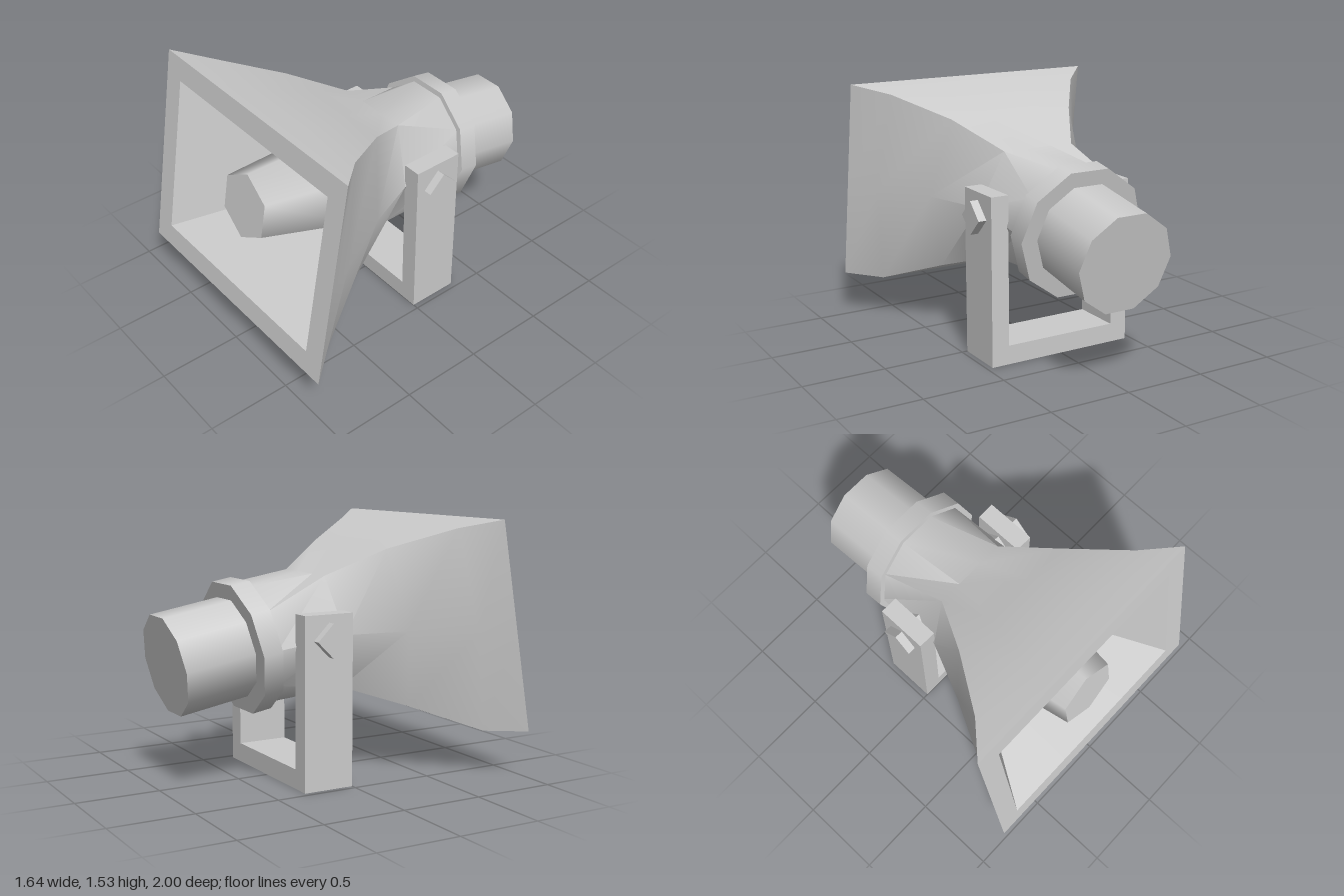
import * as THREE from 'three';
import { toCreasedNormals } from 'three/addons/utils/BufferGeometryUtils.js';

const material = new THREE.MeshStandardMaterial({ color: 0xcccccc });

function addMesh(parent, name, geometry, x = 0, y = 0, z = 0) {
  const mesh = new THREE.Mesh(geometry, material);
  mesh.name = name;
  mesh.position.set(x, y, z);
  parent.add(mesh);
  return mesh;
}

// Prism along z, from z0 (radius r0) to z1 (radius r1)
function prism(parent, name, sides, y, z0, r0, z1, r1) {
  const g = new THREE.CylinderGeometry(r1, r0, z1 - z0, sides, 1, false, sides === 10 ? Math.PI / 2 : 0);
  g.rotateX(Math.PI / 2);
  return addMesh(parent, name, g, 0, y, (z0 + z1) / 2);
}

// Ten-point section: a rectangle whose sides bulge to `mid`
function section(z, w, mid, bottom, top) {
  const centre = (bottom + top) / 2, k = 0.38 * w;
  return [
    [mid, centre], [w, top], [k, top], [-k, top], [-w, top],
    [-mid, centre], [-w, bottom], [-k, bottom], [k, bottom], [w, bottom],
  ].map(([x, y]) => [x, y, z]);
}

// Round ten-sided section
function roundSection(z, r, y) {
  return Array.from({ length: 10 }, (_, i) => {
    const a = i * Math.PI / 5;
    return [r * Math.cos(a), y + r * Math.sin(a), z];
  });
}

// Skin through the sections, with the last one closed
function loft(sections) {
  const n = sections[0].length, index = [];
  for (let i = 0; i < sections.length - 1; i++) {
    for (let j = 0; j < n; j++) {
      const a = i * n + j, b = i * n + (j + 1) % n;
      index.push(a, b, a + n, b, b + n, a + n);
    }
  }
  const last = (sections.length - 1) * n;
  for (let j = 1; j < n - 1; j++) index.push(last, last + j, last + j + 1);
  const g = new THREE.BufferGeometry();
  g.setAttribute('position', new THREE.Float32BufferAttribute(sections.flat(2), 3));
  g.setIndex(index);
  return toCreasedNormals(g, 0.7);
}

export function createModel() {
  const model = new THREE.Group();
  model.name = 'hornLoudspeaker';

  // Speaker head, tilted upward by ten degrees
  const head = new THREE.Group();
  head.name = 'speakerHead';
  head.rotation.x = -THREE.MathUtils.degToRad(10);
  model.add(head);

  // Flared horn: round neck, rectangular mouth, rim and inner funnel
  addMesh(head, 'horn', loft([
    roundSection(-0.28, 0.365, 0.87),
    section(0.16, 0.23, 0.37, 0.515, 1.19),
    section(0.49, 0.41, 0.52, 0.335, 1.29),
    section(0.84, 0.64, 0.71, 0.125, 1.35),
    section(1.034, 0.82, 0.82, 0.1, 1.368),
    section(1.034, 0.685, 0.685, 0.234, 1.228),
    section(0.41, 0.285, 0.285, 0.547, 1.044),
  ]));

  // Tapered plug inside the mouth
  prism(head, 'innerPlug', 6, 0.77, 0.41, 0.303, 1.02, 0.208);

  // Driver at the back with its collar
  prism(head, 'collar', 10, 0.867, -0.385, 0.4, -0.265, 0.4);
  prism(head, 'driverHousing', 10, 0.873, -0.81, 0.3, -0.3, 0.3);

  // U-shaped bracket
  const u = new THREE.Shape([
    [-0.465, 0], [0.465, 0], [0.465, 1.01], [0.355, 1.01],
    [0.355, 0.115], [-0.355, 0.115], [-0.355, 1.01], [-0.465, 1.01],
  ].map(([x, y]) => new THREE.Vector2(x, y)));
  addMesh(model, 'bracket', new THREE.ExtrudeGeometry(u, { depth: 0.31, bevelEnabled: false }), 0, 0, -0.31);

  // Square bolts on the bracket arms
  for (const side of [1, -1]) {
    const bolt = addMesh(model, side > 0 ? 'leftBolt' : 'rightBolt',
      new THREE.BoxGeometry(0.2, 0.14, 0.14), side * 0.415, 0.865, -0.155);
    bolt.rotation.x = Math.PI / 4;
  }
  return model;
}
